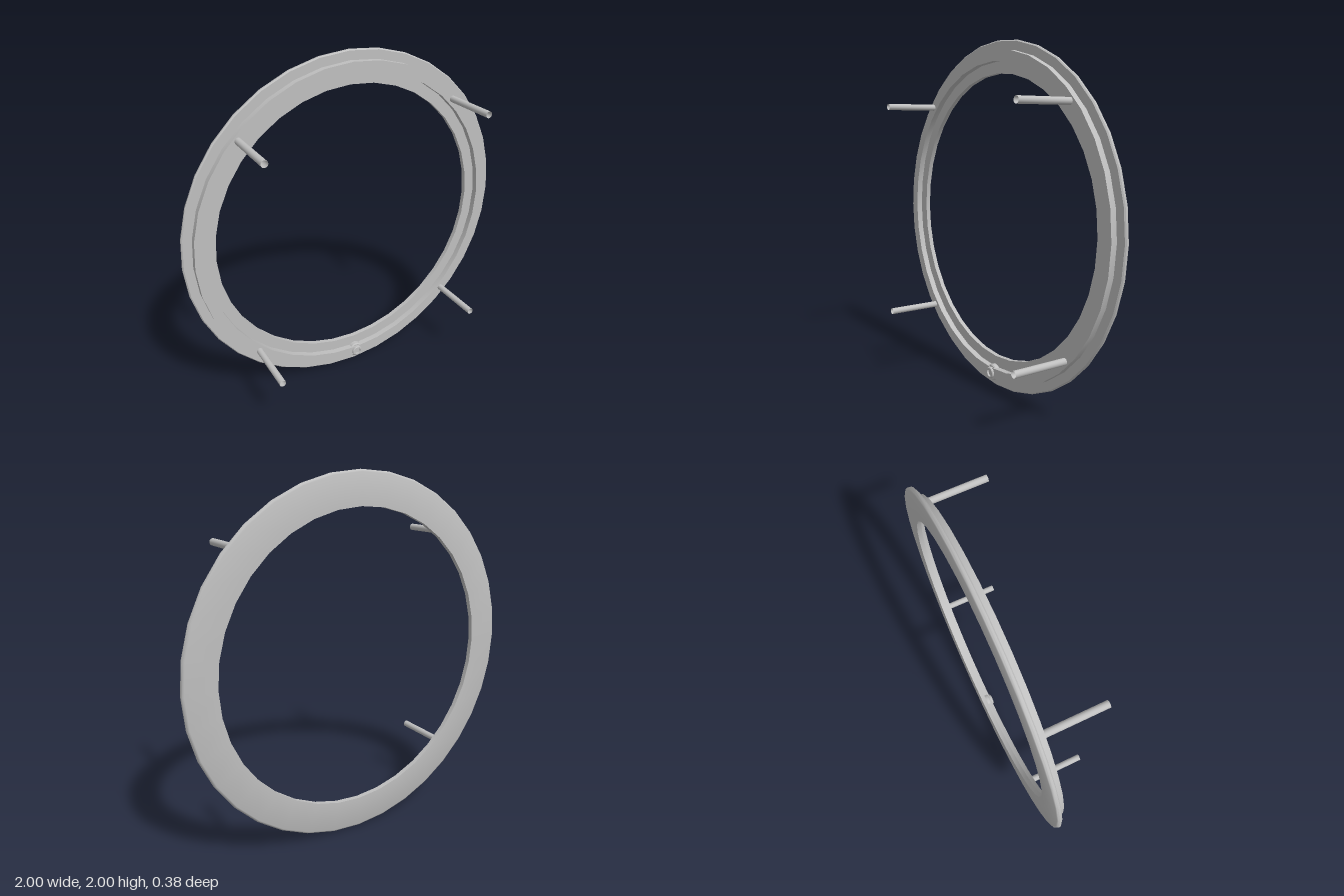
import * as THREE from 'three';
import { toCreasedNormals } from 'three/addons/utils/BufferGeometryUtils.js';

const CENTER_Y = 1;
const BACK = -0.192, FLANGE = -0.165, WALL = -0.13, TIP = 0.192;
const MID_RADIUS = 0.915;

// Revolve a closed [radius, z] profile around the z axis
function revolve(profile, segments) {
  const points = profile.map(([r, z]) => new THREE.Vector2(r, z));
  const geometry = new THREE.LatheGeometry(points, segments);
  geometry.rotateX(Math.PI / 2);
  return toCreasedNormals(geometry, Math.PI / 5);
}

export function createModel() {
  const model = new THREE.Group();
  model.name = 'ringFrame';

  const metal = new THREE.MeshStandardMaterial({ color: 0xbfbfbf });
  metal.name = 'light grey metal';
  const openMetal = new THREE.MeshStandardMaterial({ color: 0xbfbfbf, side: THREE.DoubleSide });
  openMetal.name = 'light grey metal tube';

  function add(name, geometry, x, y, z, material = metal) {
    const mesh = new THREE.Mesh(geometry, material);
    mesh.name = name;
    mesh.position.set(x, y, z);
    model.add(mesh);
  }

  // Flat flange with a softened outer rim, and the raised wall on its front
  add('ring', revolve([
    [0.82, BACK], [0.988, BACK], [0.996, BACK + 0.004], [1, BACK + 0.011],
    [1, FLANGE - 0.006], [0.994, FLANGE],
    [0.945, FLANGE], [0.945, WALL], [0.885, WALL], [0.885, FLANGE],
    [0.82, FLANGE], [0.82, BACK],
  ], 36), 0, CENTER_Y, 0);

  // Four open mounting tubes on the diagonals
  const length = TIP - WALL + 0.01;
  const tube = new THREE.CylinderGeometry(0.019, 0.019, length, 16, 1, true);
  tube.rotateX(Math.PI / 2);
  const offset = MID_RADIUS * Math.SQRT1_2;
  for (const sx of [-1, 1]) {
    for (const sy of [-1, 1]) {
      add('mountingTube', tube, sx * offset, CENTER_Y + sy * offset, TIP - length / 2, openMetal);
    }
  }

  // Cable fitting at the bottom: wide collar and a narrower hollow nipple
  const fittingY = CENTER_Y - MID_RADIUS;
  add('fittingCollar', revolve([
    [0.03, FLANGE], [0.047, FLANGE], [0.047, -0.142], [0.041, -0.136],
    [0.03, -0.136], [0.03, FLANGE],
  ], 20), 0, fittingY, 0);
  add('fittingNipple', revolve([
    [0.022, WALL], [0.033, WALL - 0.01], [0.033, -0.122], [0.029, -0.118],
    [0.022, -0.118], [0.022, WALL],
  ], 20), 0, fittingY, 0);

  return model;
}
